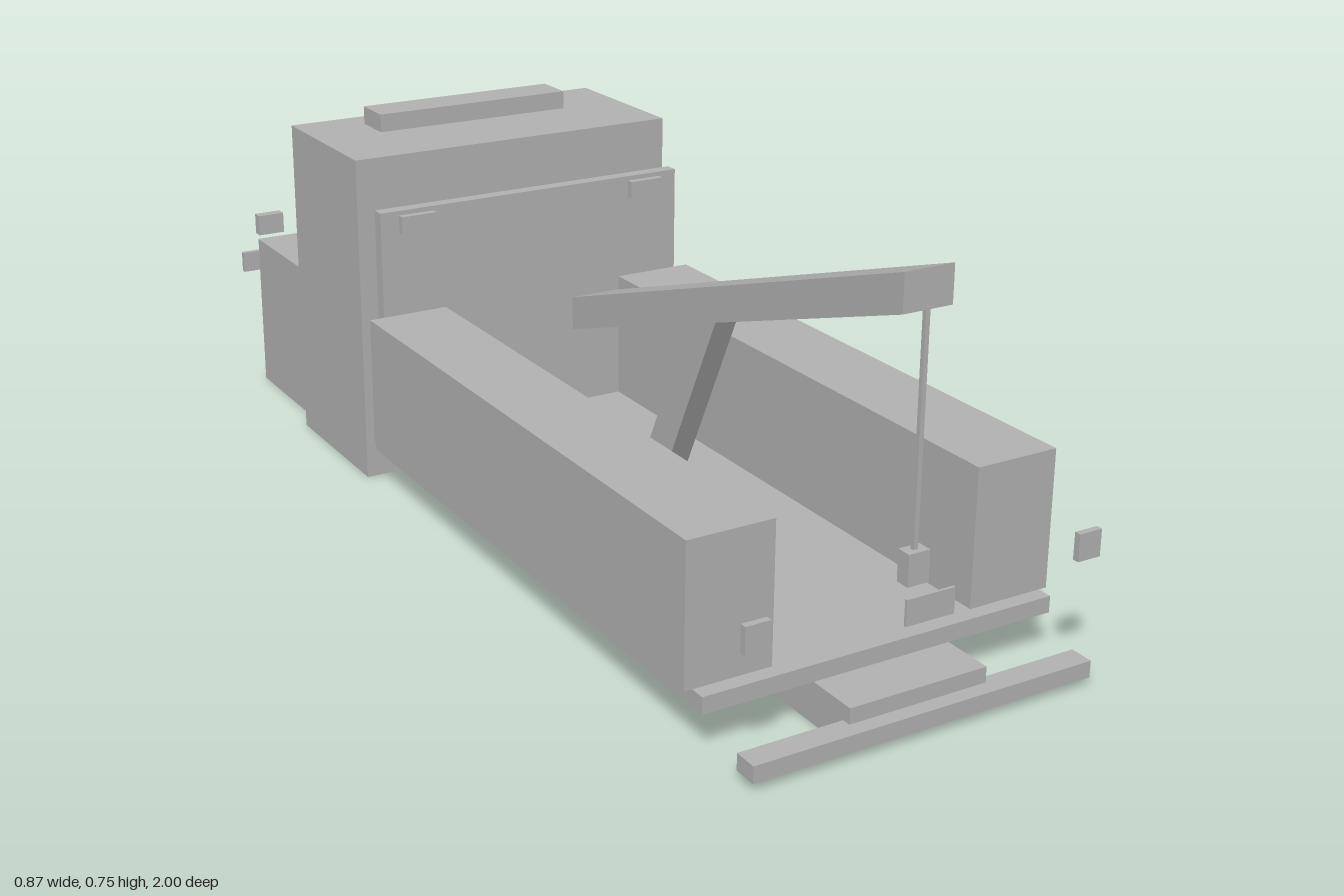
import * as THREE from 'three';

export function createModel() {
  const model = new THREE.Group();
  model.name = 'towTruck';
  const grey = new THREE.MeshStandardMaterial({ color: 0xb3b3b3 });
  grey.name = 'plain grey';

  const add = (name, geometry) => {
    const mesh = new THREE.Mesh(geometry, grey);
    mesh.name = name;
    model.add(mesh);
    return mesh;
  };

  // Box given by its limits on each axis
  const box = (name, x0, x1, y0, y1, z0, z1) =>
    add(name, new THREE.BoxGeometry(x1 - x0, y1 - y0, z1 - z0))
      .position.set((x0 + x1) / 2, (y0 + y1) / 2, (z0 + z1) / 2);

  const centred = (name, halfWidth, ...limits) => box(name, -halfWidth, halfWidth, ...limits);

  const pair = (name, x0, x1, ...limits) => {
    box(name + 'Left', x0, x1, ...limits);
    box(name + 'Right', -x1, -x0, ...limits);
  };

  // Side profile of [z, y] points, extruded across the width
  const beam = (name, halfWidth, points) => {
    const shape = new THREE.Shape(points.map(([z, y]) => new THREE.Vector2(-z, y)));
    const geometry = new THREE.ExtrudeGeometry(shape, { depth: halfWidth * 2, bevelEnabled: false });
    geometry.translate(0, 0, -halfWidth).rotateY(Math.PI / 2);
    add(name, geometry);
  };

  // Chassis and bed
  centred('chassis', 0.132, 0, 0.073, -0.36, 0.972);
  centred('deck', 0.339, 0.075, 0.105, -0.315, 0.88);
  centred('headboard', 0.325, 0.105, 0.562, -0.312, -0.286);
  pair('sideBox', 0.194, 0.354, 0.105, 0.355, -0.286, 0.852);
  pair('workLight', 0.215, 0.287, 0.518, 0.553, -0.286, -0.272);

  // Cab and hood
  centred('cab', 0.34, 0, 0.65, -0.68, -0.36);
  centred('hood', 0.31, 0, 0.325, -0.99, -0.68);
  centred('lightBar', 0.207, 0.65, 0.686, -0.62, -0.538);
  pair('mirror', 0.385, 0.437, 0.445, 0.485, -0.655, -0.635);
  pair('headlight', 0.29, 0.346, 0.255, 0.298, -1, -0.989);

  // Tail end
  centred('bumper', 0.325, 0.015, 0.045, 0.956, 1);
  pair('tailLight', 0.292, 0.337, 0.222, 0.27, 0.976, 0.988);
  centred('tailPlate', 0.046, 0.195, 0.24, 0.983, 0.988);

  // Boom, strut, cable and hook
  beam('boom', 0.046, [[0.944, 0.745], [-0.045, 0.42], [-0.045, 0.357], [0.944, 0.68]]);
  beam('boomStrut', 0.022, [[0.22, 0.105], [0.418, 0.52], [0.343, 0.52], [0.145, 0.105]]);
  centred('cable', 0.004, 0.29, 0.685, 0.937, 0.945);
  centred('hook', 0.02, 0.24, 0.295, 0.928, 0.955);

  return model;
}
